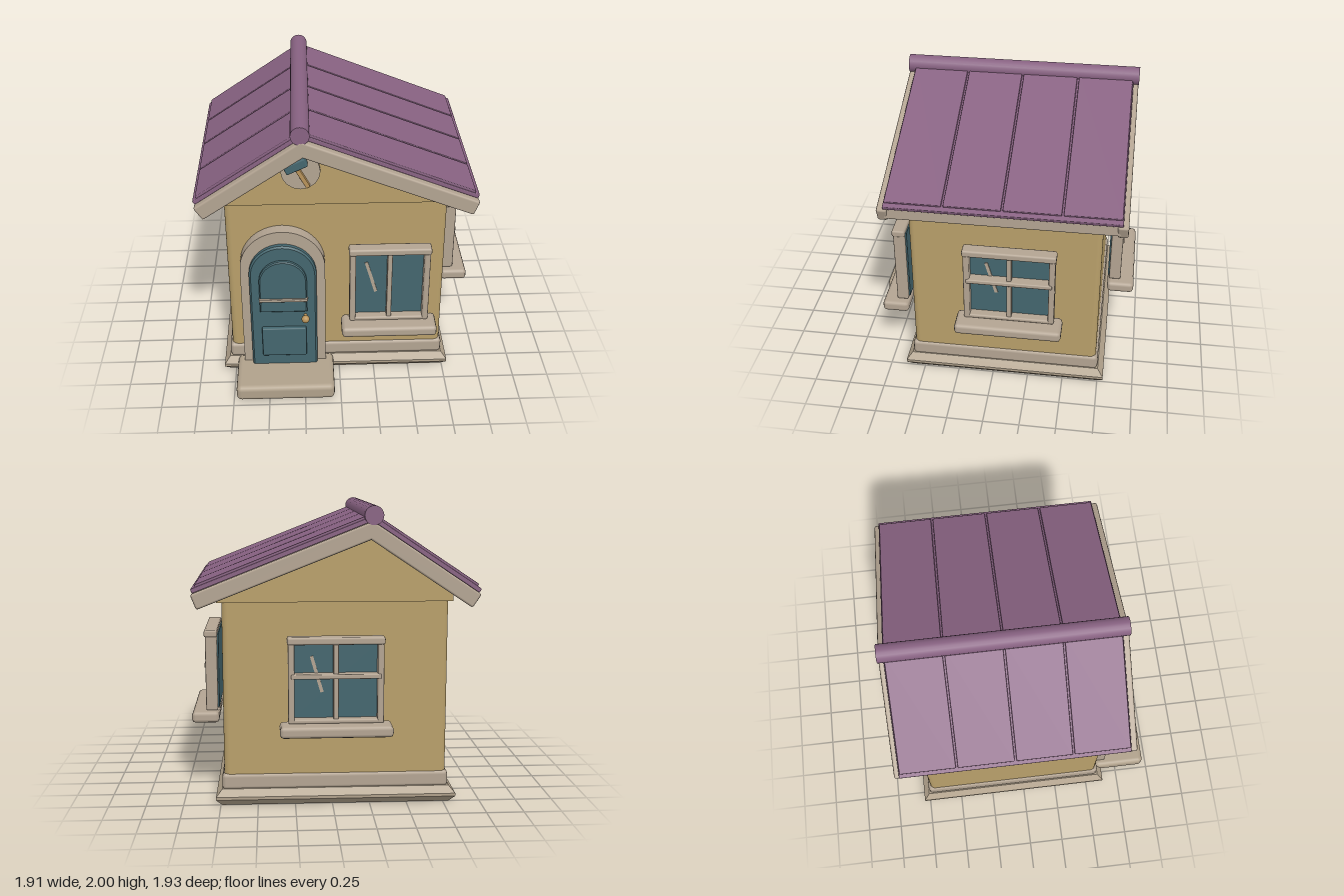
import * as THREE from 'three';
import { RoundedBoxGeometry } from 'three/addons/geometries/RoundedBoxGeometry.js';

const mat = (name, color) => Object.assign(new THREE.MeshStandardMaterial({ color }), { name });

export function createModel() {
  const wall = mat('ochre wall', 0xb89f6a);
  const trim = mat('pale trim', 0xb3a492);
  const stone = mat('stone', 0xb0a18b);
  const teal = mat('teal', 0x44666e);
  const purple = mat('purple roof', 0x886282);
  const brass = mat('brass', 0xb8935a);

  const model = new THREE.Group();
  model.name = 'cottage';

  const add = (parent, name, geometry, material) => {
    const mesh = new THREE.Mesh(geometry, material);
    mesh.name = name;
    parent.add(mesh);
    return mesh;
  };
  // Bevelled box given by its limits on each axis
  const block = (parent, name, [x0, x1], [y0, y1], [z0, z1], material, bevel = 0.012, segments = 1) => {
    const size = [x1 - x0, y1 - y0, z1 - z0];
    const r = Math.min(bevel, Math.min(...size) * 0.45);
    const geo = r > 0 ? new RoundedBoxGeometry(...size, segments, r) : new THREE.BoxGeometry(...size);
    const mesh = add(parent, name, geo, material);
    mesh.position.set((x0 + x1) / 2, (y0 + y1) / 2, (z0 + z1) / 2);
    return mesh;
  };
  const extrude = (parent, name, shape, z0, z1, material, bevel = 0) => {
    const geo = new THREE.ExtrudeGeometry(shape, {
      depth: z1 - z0 - bevel, bevelEnabled: bevel > 0, bevelThickness: bevel,
      bevelSize: bevel, bevelOffset: -bevel, bevelSegments: 1, curveSegments: 14,
    });
    geo.translate(0, 0, z0);
    return add(parent, name, geo, material);
  };

  // Foundation with a pointed edge, plinth and doorstep
  const base = new THREE.Shape([[-0.79, -0.59], [0.74, -0.59], [0.74, 0.75], [-0.79, 0.75]]
    .map(([x, y]) => new THREE.Vector2(x, y)));
  const baseGeo = new THREE.ExtrudeGeometry(base, {
    depth: 0.02, bevelThickness: 0.045, bevelSize: 0.04, bevelSegments: 1,
  });
  baseGeo.rotateX(-Math.PI / 2).translate(0, 0.045, 0);
  add(model, 'foundation', baseGeo, stone);
  block(model, 'plinth', [-0.785, 0.74], [0.1, 0.21], [-0.745, 0.585], trim, 0.025);
  block(model, 'doorstep', [-0.73, -0.045], [0.005, 0.122], [0.58, 0.965], stone, 0.035, 2);

  // Walls and gable
  block(model, 'walls', [-0.77, 0.726], [0.1, 1.43], [-0.73, 0.57], wall, 0.04, 3);
  const gable = new THREE.Shape([[-0.795, 1.37], [0.757, 1.37], [0.757, 1.495], [-0.25, 1.893], [-0.795, 1.53]]
    .map(([x, y]) => new THREE.Vector2(x, y)));
  extrude(model, 'gable', gable, -0.75, 0.59, wall);

  // Roof: each slope is laid out along a local x axis from the ridge
  const roof = new THREE.Group();
  roof.name = 'roof';
  model.add(roof);
  const slope = (side, run, drop) => {
    const g = new THREE.Group();
    g.name = side > 0 ? 'leftSlope' : 'rightSlope';
    g.position.set(-0.25, 1.9, 0);
    g.rotation.z = -side * Math.atan2(drop, run);
    roof.add(g);
    const len = Math.hypot(run, drop);
    const span = (a, b) => (side > 0 ? [a, b] : [-b, -a]);
    block(g, 'roofSlab', span(0, len - 0.012), [0, 0.03], [-0.855, 0.685], purple, 0.006);
    const seams = [-0.855, -0.472, -0.085, 0.3, 0.685];
    for (let i = 0; i < 4; i++) {
      block(g, 'roofPanel', span(0, len - 0.045), [0.02, 0.046],
        [seams[i] + 0.006, seams[i + 1] - 0.006], purple, 0.006);
    }
    for (const [name, z] of [['frontBargeboard', [0.66, 0.73]], ['backBargeboard', [-0.89, -0.82]]]) {
      block(g, name, span(0, len), [-0.105, 0], z, trim, 0.014);
    }
  };
  slope(1, 1.165, 0.46);
  slope(-1, 0.705, 0.47);
  block(roof, 'leftEaveBoard', [0.845, 0.893], [1.365, 1.455], [-0.85, 0.69], trim);
  block(roof, 'rightEaveBoard', [-0.93, -0.882], [1.365, 1.455], [-0.85, 0.69], trim);
  const ridge = add(roof, 'ridgeRoll', new THREE.CylinderGeometry(0.062, 0.062, 1.62, 20), purple);
  ridge.rotation.x = Math.PI / 2;
  ridge.position.set(-0.255, 1.938, -0.083);

  // Arched door
  const arch = (cx, r, y0, cy) => {
    const s = new THREE.Shape();
    s.moveTo(cx - r, y0);
    s.lineTo(cx + r, y0);
    s.lineTo(cx + r, cy);
    s.absarc(cx, cy, r, 0, Math.PI, false);
    s.lineTo(cx - r, y0);
    return s;
  };
  const door = new THREE.Group();
  door.name = 'door';
  model.add(door);
  const dx = -0.39;
  const frame = arch(dx, 0.29, 0.1, 0.91);
  frame.holes.push(arch(dx, 0.228, 0.1, 0.878));
  extrude(door, 'doorFrame', frame, 0.55, 0.66, trim);
  extrude(door, 'doorLeaf', arch(dx, 0.23, 0.1, 0.878), 0.55, 0.7, teal, 0.012);
  extrude(door, 'upperDoorPanel', arch(dx, 0.163, 0.59, 0.84), 0.7, 0.727, teal, 0.008);
  block(door, 'lowerDoorPanel', [-0.545, -0.235], [0.215, 0.45], [0.69, 0.73], teal, 0.008);
  block(door, 'doorRail', [-0.557, -0.222], [0.684, 0.706], [0.7, 0.742], trim, 0.006);
  add(door, 'doorKnob', new THREE.SphereGeometry(0.028, 14, 10), brass).position.set(-0.24, 0.546, 0.75);
  const stem = add(door, 'knobStem', new THREE.CylinderGeometry(0.012, 0.012, 0.06, 10), brass);
  stem.rotation.x = Math.PI / 2;
  stem.position.set(-0.24, 0.546, 0.715);

  // Windows: origin at the middle of the sill top, facing local +z
  const windowUnit = (name, w, h, crossbar, position, turn) => {
    const g = new THREE.Group();
    g.name = name;
    g.position.set(...position);
    g.rotation.y = turn;
    model.add(g);
    const e = w / 2;
    block(g, 'glass', [-e + 0.03, e - 0.03], [0.02, h - 0.03], [0, 0.03], teal, 0);
    block(g, 'sill', [-e - 0.05, e + 0.05], [-0.075, 0.002], [0, 0.188], trim, 0.025);
    block(g, 'head', [-e, e], [h - 0.05, h], [0.008, 0.1], trim, 0.014);
    block(g, 'bottomRail', [-e + 0.02, e - 0.02], [0, 0.03], [0.01, 0.09], trim);
    for (const s of [-1, 1]) {
      const x = s * (e - 0.027);
      block(g, 'jamb', [x - 0.021, x + 0.021], [0, h - 0.02], [0.01, 0.092], trim);
    }
    block(g, 'mullion', [-0.017, 0.017], [0.01, h - 0.02], [0.02, 0.08], trim, 0.008);
    if (crossbar) block(g, 'crossbar', [-e + 0.025, e - 0.025], [0.3, 0.332], [0.02, 0.1], trim, 0.008);
    const glint = block(g, 'glint', [-0.011, 0.011], [-0.125, 0.125], [0.03, 0.036], trim, 0);
    glint.position.set(-0.125, h * 0.56, 0.033);
    glint.rotation.z = 0.28;
  };
  windowUnit('frontWindow', 0.56, 0.59, false, [0.34, 0.49, 0.62], 0);
  windowUnit('leftWindow', 0.63, 0.565, true, [0.765, 0.572, -0.125], Math.PI / 2);
  windowUnit('backWindow', 0.64, 0.575, true, [-0.018, 0.58, -0.773], Math.PI);

  // Round gable plaque with a hammer
  const plaque = new THREE.Group();
  plaque.name = 'gablePlaque';
  plaque.position.set(-0.255, 1.63, 0.59);
  model.add(plaque);
  const disc = add(plaque, 'plaqueDisc', new THREE.CylinderGeometry(0.13, 0.13, 0.05, 16), trim);
  disc.rotation.x = Math.PI / 2;
  const handle = block(plaque, 'hammerHandle', [-0.015, 0.015], [-0.095, 0.095], [0.02, 0.055], brass, 0.005);
  handle.position.set(0.005, -0.02, 0.04);
  handle.rotation.z = 0.5;
  const head = block(plaque, 'hammerHead', [-0.076, 0.076], [-0.031, 0.031], [0.02, 0.085], teal, 0.01);
  head.position.set(-0.032, 0.062, 0.052);
  head.rotation.z = 0.43;

  return model;
}
